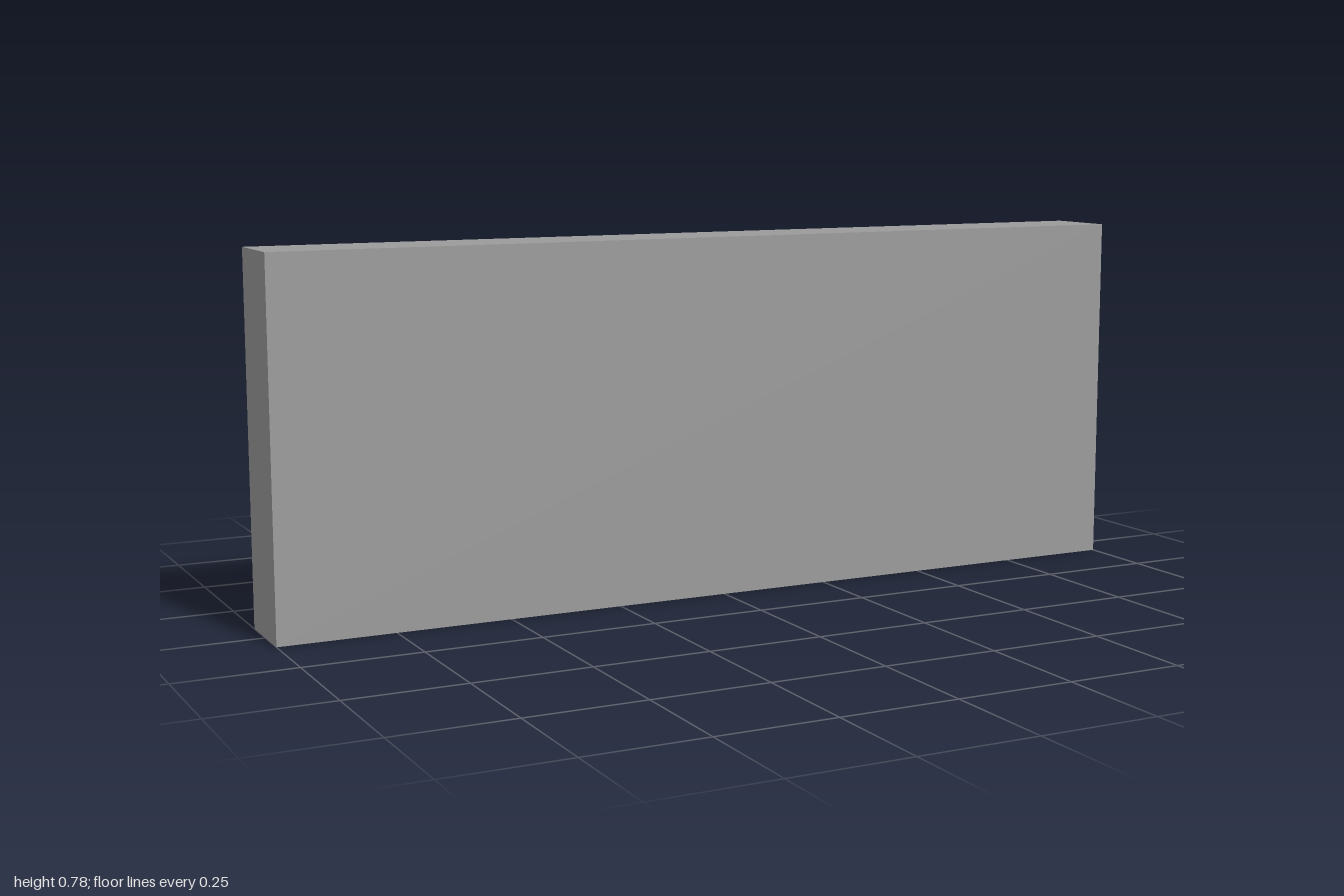
import * as THREE from 'three';

const W = 2, H = 0.782, D = 0.165, T = 0.006;
const COUNTER = 0.305, SHELF_HIGH = 0.64, SHELF_LOW = 0.496;
const RECESS = 0.006;

export function createModel() {
  const group = new THREE.Group();
  const material = new THREE.MeshStandardMaterial({ color: 0x9b9b9b, flatShading: true });

  // box given by its minimum and maximum corners
  const box = (name, x0, x1, y0, y1, z0 = -D / 2, z1 = D / 2 - T) => {
    const mesh = new THREE.Mesh(new THREE.BoxGeometry(x1 - x0, y1 - y0, z1 - z0), material);
    mesh.position.set((x0 + x1) / 2, (y0 + y1) / 2, (z0 + z1) / 2);
    mesh.name = name;
    group.add(mesh);
  };

  // outer case, open towards -z
  box('panel', -W / 2, W / 2, 0, H, D / 2 - T, D / 2);
  box('topBoard', -W / 2, W / 2, H - T / 2, H);
  box('sideLeft', W / 2 - T, W / 2, 0, H - T / 2);
  box('sideRight', -W / 2, -W / 2 + T, 0, H - T / 2);

  // upright dividers; the last one stands only between the upper shelves
  const [xA, xB, xC] = [0.718, 0.139, -0.429];
  for (const [x, y] of [[xA, 0], [xB, 0], [xC, SHELF_LOW]]) {
    box('divider', x - T / 2, x + T / 2, y, H - T / 2);
  }

  // bays between full-height uprights, each with a cupboard and its own shelves
  const bays = [
    { x0: xA + T / 2, x1: W / 2 - T, shelves: [SHELF_HIGH, SHELF_LOW] },
    { x0: xB + T / 2, x1: xA - T / 2, shelves: [SHELF_HIGH] },
    { x0: -W / 2 + T, x1: xB - T / 2, shelves: [SHELF_HIGH, SHELF_LOW] },
  ];
  const front = -D / 2 + RECESS;
  for (const { x0, x1, shelves } of bays) {
    box('counter', x0, x1, COUNTER - T, COUNTER, front);
    box('cupboardDoor', x0, x1, 0, COUNTER - T, front, front + T);
    box('cupboardFloor', x0, x1, 0, T, front + T);
    for (const y of shelves) box('shelf', x0, x1, y - T, y);
  }
  return group;
}
